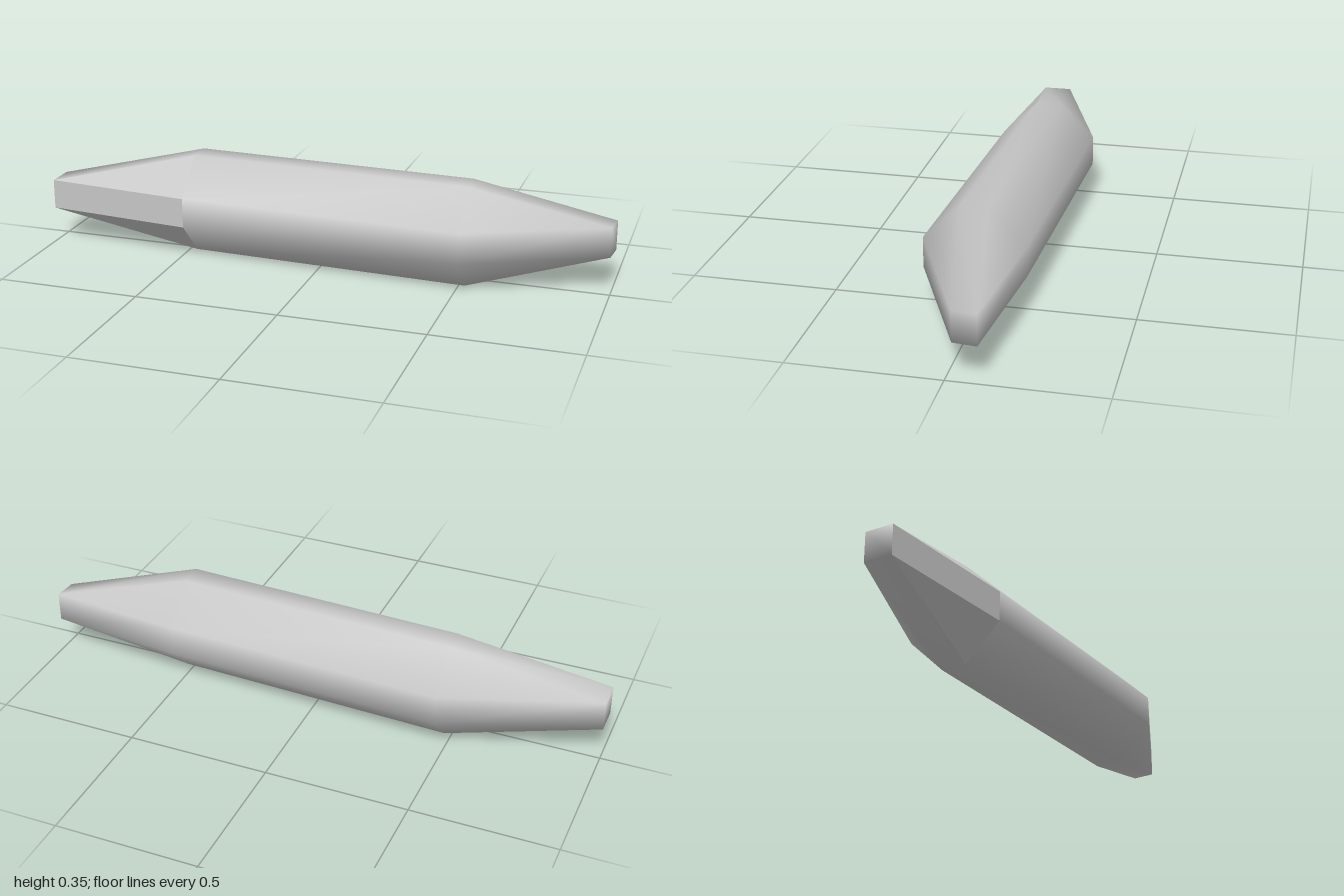
import * as THREE from 'three';
import { mergeVertices } from 'three/addons/utils/BufferGeometryUtils.js';

// Cross-sections along the length: x, then z of front side, top front edge, top back edge, back side.
// The end sections collapse to rectangles as high as the side walls.
const SECTIONS = [
  { x: -1, z: [0.092, 0.092, -0.008, -0.008], end: true },
  { x: -0.475, z: [0.146, 0.022, -0.067, -0.192] },
  { x: 0.52, z: [0.192, 0.067, -0.025, -0.149] },
  { x: 1, z: [-0.022, -0.022, -0.102, -0.102], end: true, frontX: 0.992 },
];
const TOP = 0.353, SIDE_TOP = 0.23, SIDE_LOW = 0.125;

// Eight corners of one section, from the lower front round over the top
function ring({ x, z, end, frontX = x }) {
  const top = end ? SIDE_TOP : TOP, low = end ? SIDE_LOW : 0;
  const [f, tf, tb, b] = z;
  return [
    [frontX, SIDE_LOW, f], [frontX, SIDE_TOP, f], [frontX, top, tf], [x, top, tb],
    [x, SIDE_TOP, b], [x, SIDE_LOW, b], [x, low, tb], [frontX, low, tf],
  ];
}

// Collects quads as triangles, leaving out collapsed ones
function quad(out, a, b, c, d) {
  const same = (p, q) => p.every((v, i) => v === q[i]);
  for (const t of [[a, b, c], [a, c, d]]) {
    if (same(t[0], t[1]) || same(t[1], t[2]) || same(t[2], t[0])) continue;
    t.forEach((p) => out.push(...p));
  }
}

function makeMesh(points, smooth, material, name) {
  let geometry = new THREE.BufferGeometry();
  geometry.setAttribute('position', new THREE.Float32BufferAttribute(points, 3));
  if (smooth) geometry = mergeVertices(geometry);
  geometry.computeVertexNormals();
  const mesh = new THREE.Mesh(geometry, material);
  mesh.name = name;
  return mesh;
}

export function createModel() {
  const group = new THREE.Group();
  group.name = 'taperedBar';
  const grey = new THREE.MeshStandardMaterial({ name: 'lightGrey', color: 0xc6c6c6 });

  const rings = SECTIONS.map(ring);
  const body = [], facets = [];
  for (let i = 0; i < rings.length - 1; i++) {
    for (let k = 0; k < 8; k++) {
      const n = (k + 1) % 8, p = rings[i], q = rings[i + 1];
      // the front faces of the first taper are flat facets
      const flat = i === 0 && (k === 7 || k === 0 || k === 1);
      quad(flat ? facets : body, p[k], q[k], q[n], p[n]);
    }
  }

  // End caps
  const [first, last] = [rings[0], rings[3]];
  quad(body, first[0], first[1], first[4], first[5]);
  quad(body, last[5], last[4], last[1], last[0]);

  group.add(makeMesh(body, true, grey, 'body'));
  group.add(makeMesh(facets, false, grey, 'frontTaperFacets'));
  return group;
}
